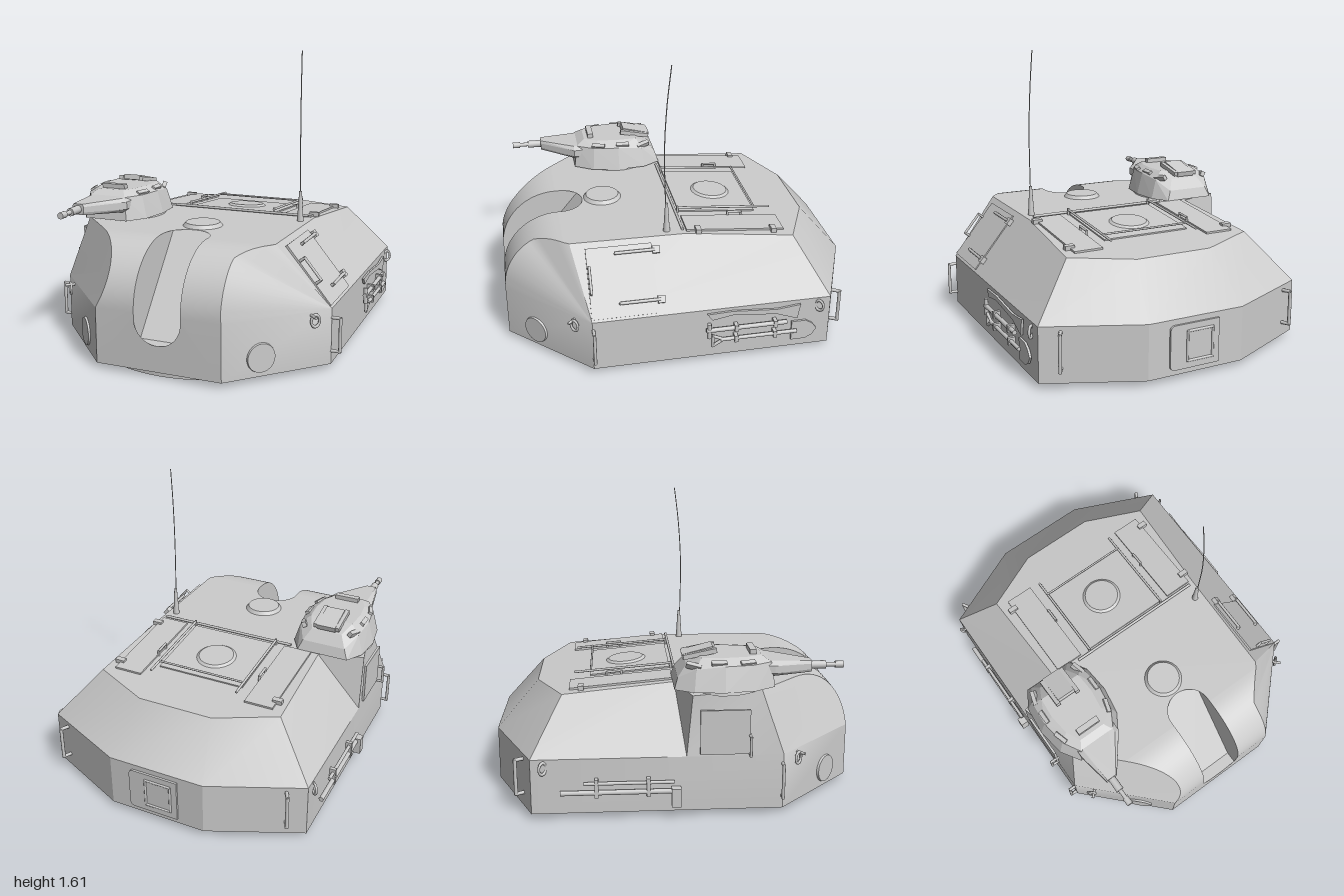
import * as THREE from 'three';
import { mergeGeometries, toCreasedNormals } from 'three/addons/utils/BufferGeometryUtils.js';
import { ConvexGeometry } from 'three/addons/geometries/ConvexGeometry.js';

const mat = new THREE.MeshStandardMaterial({ color: 0xcccccc, side: THREE.DoubleSide });
const V = (x, y, z) => new THREE.Vector3(x, y, z);

export function createModel() {
  const root = new THREE.Group();
  const add = (name, geo, pos = [0, 0, 0], rot = [0, 0, 0], parent = root) => {
    const m = new THREE.Mesh(geo, mat);
    m.name = name;
    m.position.set(...pos);
    m.rotation.set(...rot);
    parent.add(m);
    return m;
  };
  const box = (name, size, pos, rot) => add(name, new THREE.BoxGeometry(...size), pos, rot);
  const disc = (name, r0, r1, h, pos, rot, n = 40) =>
    add(name, new THREE.CylinderGeometry(r0, r1, h, n), pos, rot);
  // Bent bar: one round segment between each pair of points
  const bar = (name, pts, r) => {
    const parts = [];
    for (let i = 1; i < pts.length; i++) {
      const a = V(...pts[i - 1]), b = V(...pts[i]), d = b.clone().sub(a);
      const g = new THREE.CylinderGeometry(r, r, d.length() + r, 8);
      g.applyQuaternion(new THREE.Quaternion().setFromUnitVectors(V(0, 1, 0), d.normalize()));
      const c = a.add(b).multiplyScalar(0.5);
      parts.push(g.translate(c.x, c.y, c.z));
    }
    return add(name, mergeGeometries(parts));
  };
  // Flat polygon as a triangle fan
  const poly = (...p) => {
    const a = [];
    for (let i = 1; i < p.length - 1; i++) a.push(...p[0], ...p[i], ...p[i + 1]);
    return new THREE.BufferGeometry().setAttribute('position', new THREE.Float32BufferAttribute(a, 3));
  };
  const bare = (g) => {
    const n = g.toNonIndexed();
    n.deleteAttribute('uv');
    n.deleteAttribute('normal');
    return n;
  };
  const flat = (s, y) => bare(new THREE.ShapeGeometry(s, 24).rotateX(Math.PI / 2).translate(0, y, 0));
  const shape = (pts) => new THREE.Shape(pts.map((p) => new THREE.Vector2(...p)));

  // ---- Hull shell ----
  const faces = [];
  const face = (...p) => faces.push(poly(...p));
  const Y0 = 0.03, Y1 = 0.33, YR = 0.66;
  const roofY = (z) => YR + 0.09 * Math.min(0, z);
  const plan = [[0.35, 1], [0.78, 0.56], [0.78, -0.76], [0.28, -0.98],
    [-0.28, -0.98], [-0.78, -0.76], [-0.78, 0.56], [-0.35, 1]];
  for (let i = 0; i < 7; i++) {
    const [a, b] = [plan[i], plan[i + 1]];
    face([a[0], Y0, a[1]], [b[0], Y0, b[1]], [b[0], Y1, b[1]], [a[0], Y1, a[1]]);
  }
  // Lower front with the rounded end of the gun slot
  const front = new THREE.Shape();
  front.moveTo(-0.35, Y0).lineTo(0.35, Y0).lineTo(0.35, Y1).lineTo(0.13, Y1).lineTo(0.13, 0.3);
  front.absarc(0, 0.3, 0.13, 0, Math.PI, true).lineTo(-0.13, Y1).lineTo(-0.35, Y1);
  faces.push(bare(new THREE.ShapeGeometry(front, 24).translate(0, 0, 1)));
  // Rolled front edge beside the slot, and the slanted corner panels it meets
  const N = 16, edge = { 1: [], '-1': [] }, inner = [];
  for (let i = 0; i <= N; i++) {
    const a = (i / N) * Math.PI / 2, t = Math.sin(a);
    const y = Y1 + 0.33 * t, z = 0.67 + 0.33 * Math.cos(a), x = 1.35 - 0.2 * t - z;
    edge[1].push([Math.max(0.345, x), y, z]);
    edge[-1].push([-x, y, z]);
    inner.push([y, z]);
  }
  for (const s of [1, -1]) {
    for (let i = 0; i < N; i++) {
      const [p, q] = [inner[i], inner[i + 1]];
      const quad = [[0.13 * s, ...p], edge[s][i], edge[s][i + 1], [0.13 * s, ...q]];
      face(...(s > 0 ? quad : quad.reverse()));
    }
    // Slot cheek
    face([0.13 * s, 0.17, 0.93], [0.13 * s, 0.17, 1], ...inner.map((p) => [0.13 * s, ...p]), [0.13 * s, YR, 0.52]);
  }
  face([-0.13, 0.17, 0.93], [0.13, 0.17, 0.93], [0.13, YR, 0.52], [-0.13, YR, 0.52]);
  face([-0.13, 0.17, 1], [0.13, 0.17, 1], [0.13, 0.17, 0.93], [-0.13, 0.17, 0.93]);
  face([0.78, Y1, 0.56], [0.5, YR, 0.64], ...edge[1].slice().reverse());
  face([-0.78, Y1, 0.56], ...edge[-1], [-0.7, YR, 0.45]);
  // Sloped upper walls
  const RB = [[0.55, roofY(-0.6), -0.6], [0.22, roofY(-0.75), -0.75]];
  const LB = RB.map(([x, y, z]) => [-x, y, z]);
  face([0.78, Y1, 0.56], [0.78, Y1, -0.76], RB[0], [0.51, YR, 0], [0.5, YR, 0.64]);
  face([0.78, Y1, -0.76], [0.28, Y1, -0.98], RB[1], RB[0]);
  face([0.28, Y1, -0.98], [-0.28, Y1, -0.98], LB[1], RB[1]);
  face([-0.28, Y1, -0.98], [-0.78, Y1, -0.76], LB[0], LB[1]);
  face([-0.78, Y1, -0.76], [-0.78, Y1, 0.05], [-0.53, YR, 0], LB[0]);
  // Upright bulge that carries the cupola
  face([-0.78, Y1, 0.05], [-0.78, YR, 0.08], [-0.53, YR, 0]);
  face([-0.78, Y1, 0.05], [-0.78, Y1, 0.56], [-0.7, YR, 0.45], [-0.78, YR, 0.08]);
  // Roof
  const roof = new THREE.Shape();
  roof.moveTo(-0.53, 0).lineTo(0.51, 0).lineTo(0.5, 0.64).lineTo(0.48, 0.67).lineTo(0.13, 0.67).lineTo(0.13, 0.65);
  roof.absarc(0, 0.65, 0.13, 0, Math.PI, true).lineTo(-0.13, 0.67).lineTo(-0.48, 0.67).lineTo(-0.7, 0.45).lineTo(-0.78, 0.08);
  faces.push(flat(roof, YR));
  face([-0.53, YR, 0], [0.51, YR, 0], RB[0], RB[1], LB[1], LB[0]);
  // Floor with the round opening
  const floor = shape(plan);
  floor.holes.push(new THREE.Path().absarc(0, 0.33, 0.645, 0, Math.PI * 2));
  faces.push(flat(floor, Y0));
  add('hull', toCreasedNormals(mergeGeometries(faces), 0.4));
  add('turretRing', new THREE.CylinderGeometry(0.645, 0.645, 0.03, 64, 1, true), [0, 0.015, 0.33]);

  // ---- Cupola ----
  const cx = -0.555, cz = 0.25;
  const outline = [[-0.15, -0.26], [0.15, -0.26], [0.21, -0.16], [0.225, 0], [0.2, 0.16], [0.13, 0.27],
    [-0.13, 0.27], [-0.2, 0.16], [-0.225, 0], [-0.21, -0.16]];
  const pts = [];
  for (const [x, z] of outline) {
    const drop = (zz) => Math.max(0, -0.13 - zz) * 0.55;
    pts.push(V(cx + x, 0.67, cz + z), V(cx + x * 0.84, 0.8 - drop(z), cz + z * 0.93),
      V(cx + x * 0.6, 0.832 - drop(z * 0.8), cz + z * 0.75));
  }
  add('cupola', new ConvexGeometry(pts));
  disc('cupolaCollar', 0.215, 0.22, 0.025, [cx, 0.665, cz]);
  for (const s of [1, -1]) {
    box('cupolaHatchRail', [0.025, 0.025, 0.18], [cx + s * 0.065, 0.838, 0.13], [-0.2, 0, 0]);
    box('sideSight', [0.025, 0.03, 0.08], [cx + s * 0.155, 0.805, 0.37], [0, s * -0.3, s * -0.5]);
    box('sideSight', [0.025, 0.03, 0.08], [cx + s * 0.165, 0.808, 0.22], [0, 0, s * -0.5]);
    box('rearSight', [0.025, 0.03, 0.08], [cx + s * 0.15, 0.795, 0.09], [0.2, s * 0.3, s * -0.5]);
  }
  box('cupolaHatch', [0.11, 0.03, 0.17], [cx, 0.838, 0.12], [-0.25, 0, 0]);
  box('frontSight', [0.14, 0.03, 0.035], [cx, 0.842, 0.41]);
  const shield = [];
  for (const [x0, x1, y0, y1, z] of [[-0.68, -0.42, 0.715, 0.805, 0.44], [-0.68, -0.42, 0.72, 0.8, 0.52], [-0.645, -0.575, 0.735, 0.795, 0.72]])
    for (const [u, v] of [[0, 0.25], [0.1, 0], [0.9, 0], [1, 0.25], [1, 0.75], [0.9, 1], [0.1, 1], [0, 0.75]])
      shield.push(V(x0 + (x1 - x0) * u, y0 + (y1 - y0) * v, z));
  add('gunShield', new ConvexGeometry(shield));
  for (const [r, z0, z1] of [[0.022, 0.7, 0.8], [0.012, 0.8, 0.88], [0.018, 0.85, 0.895]])
    disc('gunBarrel', r, r, z1 - z0, [-0.61, 0.765, (z0 + z1) / 2], [Math.PI / 2, 0, 0], 16);

  // ---- Roof fittings ----
  const tilt = [-0.09, 0, 0];
  disc('frontHatch', 0.095, 0.112, 0.022, [-0.01, 0.669, 0.4]);
  disc('rearHatch', 0.1, 0.13, 0.022, [0, roofY(-0.25) + 0.008, -0.25], tilt);
  box('centreCover', [0.52, 0.012, 0.45], [0, roofY(-0.23) + 0.002, -0.23], tilt);
  for (const s of [1, -1]) {
    box('roofDoor', [0.165, 0.014, 0.56], [s * 0.405, roofY(-0.285) + 0.004, -0.285], tilt);
    bar('coverRail', [[s * 0.265, 0.69, 0], [s * 0.265, 0.645, -0.54]], 0.007);
    bar('railPost', [[s * 0.265, 0.65, 0], [s * 0.265, 0.695, 0]], 0.007);
    bar('doorHandle', [[s * 0.32, 0.63, -0.28], [s * 0.32, 0.665, -0.28], [s * 0.32, 0.658, -0.36], [s * 0.32, 0.62, -0.36]], 0.007);
    for (const z of [-0.5, -0.07]) if (s > 0 || z < -0.1)
      box('doorHinge', [0.055, 0.025, 0.03], [s * 0.49, roofY(z) + 0.012, z], tilt);
  }
  bar('coverCrossbar', [[-0.265, 0.655, -0.45], [0.265, 0.655, -0.45]], 0.006);
  bar('roofCrossbar', [[-0.35, 0.672, 0.015], [0.475, 0.672, 0.015]], 0.008);
  disc('antennaBase', 0.012, 0.02, 0.1, [0.457, 0.7, 0.1], [0, 0, 0], 16);
  disc('antennaSpring', 0.008, 0.014, 0.1, [0.457, 0.78, 0.1], [0, 0, 0], 16);
  const whip = new THREE.CatmullRomCurve3([V(0.457, 0.8, 0.105), V(0.456, 1.15, 0.11), V(0.451, 1.4, 0.095), V(0.445, 1.61, 0.07)]);
  add('antenna', new THREE.TubeGeometry(whip, 20, 0.003, 6));

  // ---- Sloped side door ----
  const onSlope = (s, z, o) => [0.78 - 0.27 * s + 0.77 * o, 0.33 + 0.33 * s + 0.63 * o, z];
  box('sideDoor', [0.012, 0.38, 0.36], onSlope(0.48, 0.38, 0), [0, 0, 0.686]);
  for (const s of [0.2, 0.83]) {
    bar('sideDoorHinge', [onSlope(s, 0.4, 0.005), onSlope(s, 0.4, 0.02), onSlope(s, 0.19, 0.02)], 0.009);
    box('hingeBlock', [0.025, 0.04, 0.04], onSlope(s, 0.18, 0.012), [0, 0, 0.686]);
  }
  bar('sideDoorHandle', [onSlope(0.35, 0.55, 0), onSlope(0.35, 0.55, 0.04), onSlope(0.68, 0.55, 0.04), onSlope(0.68, 0.55, 0)], 0.008);

  // ---- Wall fittings on both sides ----
  for (const s of [1, -1]) {
    const d = Math.PI / 4;
    disc('cornerBoss', 0.075, 0.08, 0.02, [s * 0.5, 0.13, 0.848], [Math.PI / 2, 0, -s * d]);
    const eye = (x, z) => {
      const e = add('liftingEye', new THREE.TorusGeometry(0.024, 0.007, 8, 16), [s * x, 0.285, z], [0, s * d, 0]);
      e.scale.y = 1.3;
    };
    eye(0.72, 0.65);
    eye(0.79, -0.695);
    bar('eyePin', [[s * 0.69, 0.31, 0.64], [s * 0.73, 0.31, 0.68]], 0.008);
    bar('rearGrabRail', [[s * 0.67, 0.3, -0.79], [s * 0.7, 0.3, -0.845], [s * 0.7, 0.11, -0.845], [s * 0.67, 0.11, -0.79]], 0.01);
  }
  bar('frontGrabRail', [[0.77, 0.28, 0.555], [0.825, 0.28, 0.555], [0.825, 0.1, 0.555], [0.77, 0.1, 0.555]], 0.009);
  bar('frontGrabRail', [[-0.77, 0.28, 0.555], [-0.815, 0.28, 0.555], [-0.815, 0.1, 0.555], [-0.77, 0.1, 0.555]], 0.009);
  bar('bulgeHandle', [[-0.77, 0.44, 0.38], [-0.82, 0.44, 0.38], [-0.82, 0.34, 0.38], [-0.77, 0.34, 0.38]], 0.008);
  box('bulgeDoor', [0.014, 0.24, 0.26], [-0.781, 0.46, 0.25]);

  // ---- Stowed tools ----
  bar('shovelShaft', [[0.805, 0.145, -0.14], [0.805, 0.145, -0.56]], 0.011);
  bar('shovelGrip', [[0.805, 0.145, -0.15], [0.805, 0.175, -0.09], [0.805, 0.11, -0.09], [0.805, 0.145, -0.15]], 0.009);
  const blade = shape([[-0.54, 0.2], [-0.62, 0.2], [-0.66, 0.175], [-0.685, 0.14], [-0.66, 0.1], [-0.62, 0.08], [-0.54, 0.08]]);
  const machete = shape([[-0.06, 0.31], [-0.09, 0.27], [-0.2, 0.29], [-0.45, 0.265], [-0.57, 0.22], [-0.585, 0.31], [-0.45, 0.295], [-0.2, 0.315]]);
  for (const [name, s] of [['shovelBlade', blade], ['longBlade', machete]])
    add(name, new THREE.ExtrudeGeometry(s, { depth: 0.012, bevelEnabled: false }), [0.796, 0, 0], [0, -Math.PI / 2, 0]);
  bar('pickShaft', [[0.805, 0.213, -0.06], [0.805, 0.213, -0.5]], 0.013);
  bar('pickHead', [[0.805, 0.17, -0.07], [0.805, 0.25, -0.07]], 0.012);
  for (const z of [-0.22, -0.44]) for (const y of [0.145, 0.213])
    box('toolClip', [0.04, 0.04, 0.02], [0.8, y, z]);
  bar('cleaningRod', [[-0.8, 0.15, 0], [-0.8, 0.15, -0.6]], 0.014);
  bar('towBar', [[-0.8, 0.2, -0.02], [-0.8, 0.2, -0.48]], 0.01);
  box('towBarHead', [0.045, 0.1, 0.05], [-0.808, 0.12, -0.005]);
  for (const z of [-0.15, -0.42]) box('rodClip', [0.04, 0.1, 0.02], [-0.795, 0.175, z]);

  // ---- Rear access panel ----
  const r = new THREE.Shape();
  r.moveTo(-0.13, 0.06).lineTo(0.13, 0.06).quadraticCurveTo(0.16, 0.06, 0.16, 0.09).lineTo(0.16, 0.27)
    .quadraticCurveTo(0.16, 0.3, 0.13, 0.3).lineTo(-0.13, 0.3);
  add('rearPanel', new THREE.ExtrudeGeometry(r, { depth: 0.015, bevelEnabled: false }), [0, 0, -0.992]);
  bar('rearPanelFrame', [[-0.09, 0.1, -0.992], [0.06, 0.1, -0.992], [0.06, 0.26, -0.992], [-0.09, 0.26, -0.992], [-0.09, 0.1, -0.992]], 0.007);
  return root;
}
